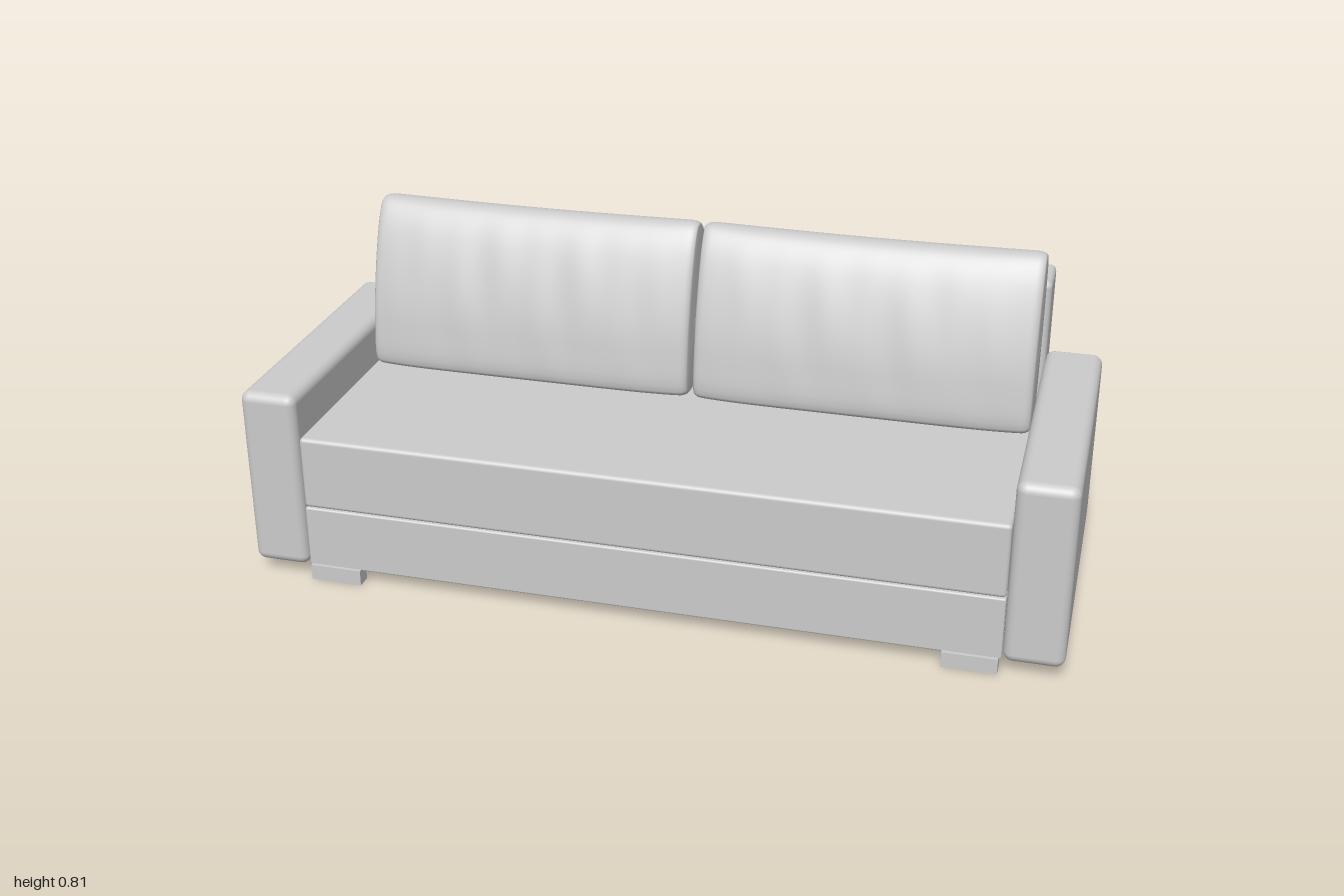
import * as THREE from 'three';
import { RoundedBoxGeometry } from 'three/addons/geometries/RoundedBoxGeometry.js';

const material = new THREE.MeshStandardMaterial({ color: 0xcccccc });

function add(group, name, geometry) {
  const mesh = new THREE.Mesh(geometry, material);
  mesh.name = name;
  group.add(mesh);
  return mesh;
}

// Box given by its min and max corners; r > 0 rounds the edges
function box(group, name, [x0, y0, z0], [x1, y1, z1], r = 0) {
  const size = [x1 - x0, y1 - y0, z1 - z0];
  const geometry = r ? new RoundedBoxGeometry(...size, 4, r) : new THREE.BoxGeometry(...size);
  add(group, name, geometry).position.set((x0 + x1) / 2, (y0 + y1) / 2, (z0 + z1) / 2);
}

// Side profile of a back cushion as (z, y), front bottom over the top to the back
const PROFILE = [
  [-0.04, 0.4], [-0.045, 0.5], [-0.063, 0.59], [-0.1, 0.7], [-0.135, 0.77], [-0.165, 0.804],
  [-0.19, 0.81], [-0.22, 0.802], [-0.25, 0.772], [-0.268, 0.7], [-0.271, 0.6], [-0.259, 0.5],
  [-0.243, 0.405], [-0.22, 0.384], [-0.14, 0.38], [-0.06, 0.384],
];

// Soft cushion: the profile swept along x, tapered at the ends and lightly creased
function cushionGeometry(half, seed) {
  const curve = new THREE.CatmullRomCurve3(
    PROFILE.map(([z, y]) => new THREE.Vector3(0, y, z)), true);
  const COLS = 80, RING = 72, R = 0.025;
  const ring = Array.from({ length: RING }, (_, j) => curve.getPoint(j / RING));
  const positions = [], index = [];
  for (let i = 0; i <= COLS; i++) {
    const s = (i / COLS) * 2 - 1, t = Math.abs(s);
    const a = THREE.MathUtils.clamp((t - 0.8) / 0.14, 0, 1) * Math.PI / 2;
    const cap = THREE.MathUtils.clamp((t - 0.94) / 0.06, 0, 1);
    const body = Math.min(t / 0.8, 1);
    const x = Math.sign(s) * (body * (half - R - 0.003) + R * Math.sin(a) + 0.003 * cap);
    const round = 1 - Math.cos(a);
    const sy = (1 - 0.05 * round) * (1 - cap);
    const sz = (1 - 0.1 * body ** 6 - 0.16 * round) * (1 - cap);
    for (const p of ring) {
      const h = (p.y - 0.385) / 0.425;
      const soft = (1 - body ** 4) * Math.sin(Math.PI * THREE.MathUtils.clamp(h, 0, 1));
      const crease = 0.003 * soft * Math.sin(x * 46 + seed + 3 * h) * Math.sin(x * 13 + seed * 2 - 2 * h);
      const midZ = -0.145 - 0.045 * h;
      const dip = 0.005 * (1 - body * body) * Math.max(h, 0) ** 6;
      positions.push(x, 0.595 + (p.y - 0.595) * sy - dip, midZ + (p.z - midZ) * sz + crease);
    }
  }
  for (let i = 0; i < COLS; i++) {
    for (let j = 0; j < RING; j++) {
      const k = (j + 1) % RING;
      const p = i * RING + j, q = p + RING, r = i * RING + k, s = r + RING;
      index.push(p, q, r, q, s, r);
    }
  }
  const geometry = new THREE.BufferGeometry();
  geometry.setAttribute('position', new THREE.Float32BufferAttribute(positions, 3));
  geometry.setIndex(index);
  geometry.computeVertexNormals();
  return geometry;
}

export function createModel() {
  const sofa = new THREE.Group();
  sofa.name = 'sofa';

  // Seat and backrest
  box(sofa, 'seat', [-0.857, 0.198, -0.272], [0.857, 0.385, 0.406], 0.01);
  box(sofa, 'backrest', [-0.863, 0.15, -0.415], [0.863, 0.7, -0.272], 0.016);

  // Base: rails around a recessed underside
  box(sofa, 'frontRail', [-0.857, 0.036, 0.385], [0.857, 0.196, 0.405], 0.005);
  box(sofa, 'backRail', [-0.857, 0.036, -0.255], [0.857, 0.199, -0.235]);
  box(sofa, 'underside', [-0.857, 0.085, -0.236], [0.857, 0.199, 0.386]);

  // Middle leg
  const leg = (name, x, z) =>
    add(sofa, name, new THREE.CylinderGeometry(0.021, 0.021, 0.09, 24)).position.set(x, 0.045, z);
  leg('middleLeg', 0, 0.285);

  // Mirrored parts
  for (const [side, m] of [['left', 1], ['right', -1]]) {
    const span = (a, b) => (m > 0 ? [a, b] : [-b, -a]);
    const [a0, a1] = span(0.858, 1);
    box(sofa, side + 'Arm', [a0, 0.034, -0.35], [a1, 0.496, 0.416], 0.024);
    const [f0, f1] = span(0.72, 0.85);
    box(sofa, side + 'FrontFoot', [f0, 0, 0.376], [f1, 0.04, 0.414]);
    leg(side + 'FrontLeg', m * 0.805, 0.34);
    leg(side + 'RearLeg', m * 0.805, -0.232);
    add(sofa, side + 'BackCushion', cushionGeometry(0.425, m > 0 ? 0.6 : 2.3)).position.x = m * 0.429;
  }
  return sofa;
}
